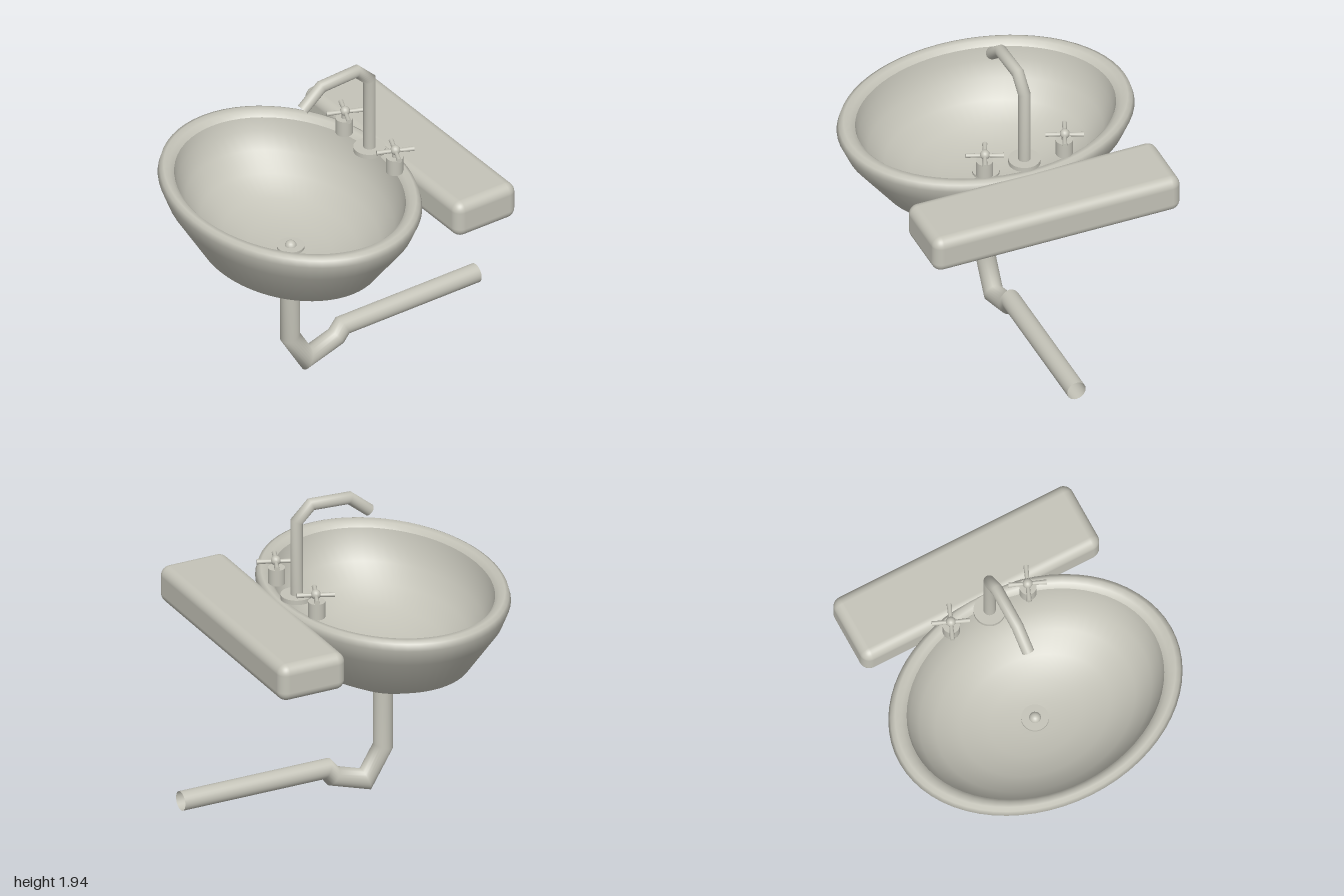
import * as THREE from 'three';
import { RoundedBoxGeometry } from 'three/addons/geometries/RoundedBoxGeometry.js';

const ceramic = new THREE.MeshStandardMaterial({ color: 0xc4c3b8, side: THREE.DoubleSide });
ceramic.name = 'grey ceramic';

function part(name, geometry, x = 0, y = 0, z = 0) {
  const mesh = new THREE.Mesh(geometry, ceramic);
  mesh.name = name;
  mesh.position.set(x, y, z);
  return mesh;
}

// Open tube with mitred bends along a path of [z, y] points
function bentPipe(path, radius, sides = 24) {
  const points = path.map(([z, y]) => new THREE.Vector2(z, y));
  const positions = [], index = [];
  points.forEach((p, i) => {
    const before = p.clone().sub(points[Math.max(i - 1, 0)]).normalize();
    const after = points[Math.min(i + 1, points.length - 1)].clone().sub(p).normalize();
    const t = before.clone().add(after).normalize();
    const miter = radius / t.dot(i === 0 ? after : before);
    for (let j = 0; j < sides; j++) {
      const a = (j / sides) * Math.PI * 2;
      const s = Math.sin(a) * miter;
      positions.push(Math.cos(a) * radius, p.y + t.x * s, p.x - t.y * s);
      if (i < points.length - 1) {
        const k = i * sides + j, n = i * sides + ((j + 1) % sides);
        index.push(k, n, k + sides, n, n + sides, k + sides);
      }
    }
  });
  const geometry = new THREE.BufferGeometry();
  geometry.setAttribute('position', new THREE.Float32BufferAttribute(positions, 3));
  geometry.setIndex(index);
  geometry.computeVertexNormals();
  return geometry;
}

// Oval surface of revolution for the basin
function oval(profile) {
  const geometry = new THREE.LatheGeometry(profile.map(([r, y]) => new THREE.Vector2(r, y)), 64);
  return geometry.scale(1, 1, 0.78);
}

// Tap with a tilted cross handle
function createTap(name, x) {
  const tap = new THREE.Group();
  tap.name = name;
  tap.position.set(x, 0, -0.25);
  tap.add(part('tapBody', new THREE.CylinderGeometry(0.05, 0.05, 0.1, 24), 0, 1.355, 0));
  tap.add(part('tapStem', new THREE.CylinderGeometry(0.015, 0.015, 0.06, 12), 0, 1.42, 0));
  tap.add(part('handleHub', new THREE.SphereGeometry(0.029, 16, 12), 0, 1.45, -0.005));
  for (let i = 0; i < 4; i++) {
    const arm = new THREE.CylinderGeometry(0.015, 0.011, 0.1, 10);
    arm.rotateZ(-Math.PI / 2).translate(0.06, 0, 0).rotateY(-0.4 + i * Math.PI / 2);
    tap.add(part('handleArm', arm, 0, 1.445, -0.005));
  }
  return tap;
}

export function createModel() {
  const sink = new THREE.Group();
  sink.name = 'washbasin';
  const basinZ = 0.31;

  // Basin: outer shell with rolled rim, and the inner bowl
  sink.add(part('basinShell', oval([
    [0.37, 0.75], [0.62, 0.87], [0.835, 1.15], [0.885, 1.26],
    [0.872, 1.3], [0.845, 1.312], [0.805, 1.308], [0.775, 1.28],
  ]), 0, 0, basinZ));
  sink.add(part('innerBowl', oval([
    [0.775, 1.28], [0.755, 1.2], [0.7, 1.1], [0.6, 1.0],
    [0.45, 0.92], [0.28, 0.875], [0.13, 0.86], [0, 0.855],
  ]), 0, 0, basinZ));

  // Drain and plug
  sink.add(part('drainRing', new THREE.CylinderGeometry(0.08, 0.08, 0.04, 32), 0, 0.855, 0.305));
  sink.add(part('drainPlug', new THREE.SphereGeometry(0.035, 16, 12), 0, 0.87, 0.305));

  // Wall shelf behind the basin
  sink.add(part('backShelf', new RoundedBoxGeometry(1.55, 0.23, 0.43, 5, 0.06), 0, 1.195, -0.535));

  // Spout
  sink.add(part('spoutBase', new THREE.CylinderGeometry(0.093, 0.093, 0.028, 32), 0, 1.33, -0.25));
  sink.add(part('spout', bentPipe([
    [-0.25, 1.33], [-0.25, 1.805], [-0.157, 1.895], [0.09, 1.882], [0.22, 1.775],
  ], 0.036)));

  // Waste pipe running back to the wall
  sink.add(part('wastePipe', bentPipe([
    [0.31, 0.84], [0.31, 0.25], [0.195, 0.06], [-0.015, 0.127], [-0.06, 0.183], [-1, 0.187],
  ], 0.058)));

  sink.add(createTap('leftTap', 0.25), createTap('rightTap', -0.25));
  return sink;
}
